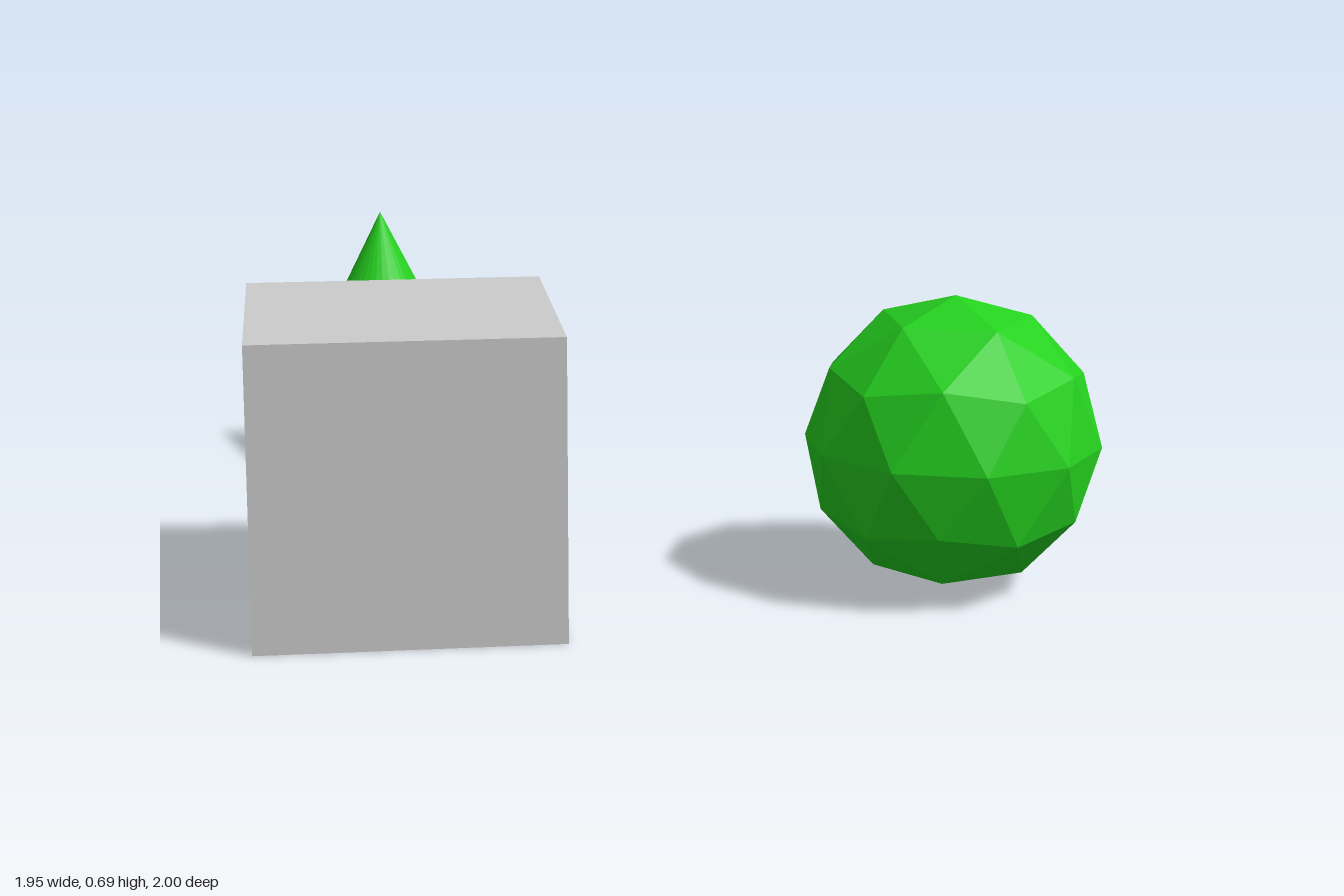
import * as THREE from 'three';

const R = 0.345; // half size shared by all three solids

export function createModel() {
  const group = new THREE.Group();
  const grey = new THREE.MeshStandardMaterial({ color: 0xcccccc });
  const green = new THREE.MeshStandardMaterial({ color: 0x25d11f, flatShading: true });

  const add = (name, geometry, material, x, z) => {
    const mesh = new THREE.Mesh(geometry, material);
    mesh.name = name;
    mesh.position.set(x, R, z);
    group.add(mesh);
  };

  // Cube at the front right
  add('cube', new THREE.BoxGeometry(2 * R, 2 * R, 2 * R), grey, -0.632, 0.655);

  // Faceted ball at the front left, tilted so that a vertex points straight up
  const ball = new THREE.IcosahedronGeometry(R, 1);
  ball.rotateZ(-Math.atan(2 / (1 + Math.sqrt(5))));
  add('ball', ball, green, 0.645, 0.655);

  // Cone at the back right
  add('cone', new THREE.ConeGeometry(R, 2 * R, 32), green, -0.632, -0.655);

  return group;
}
